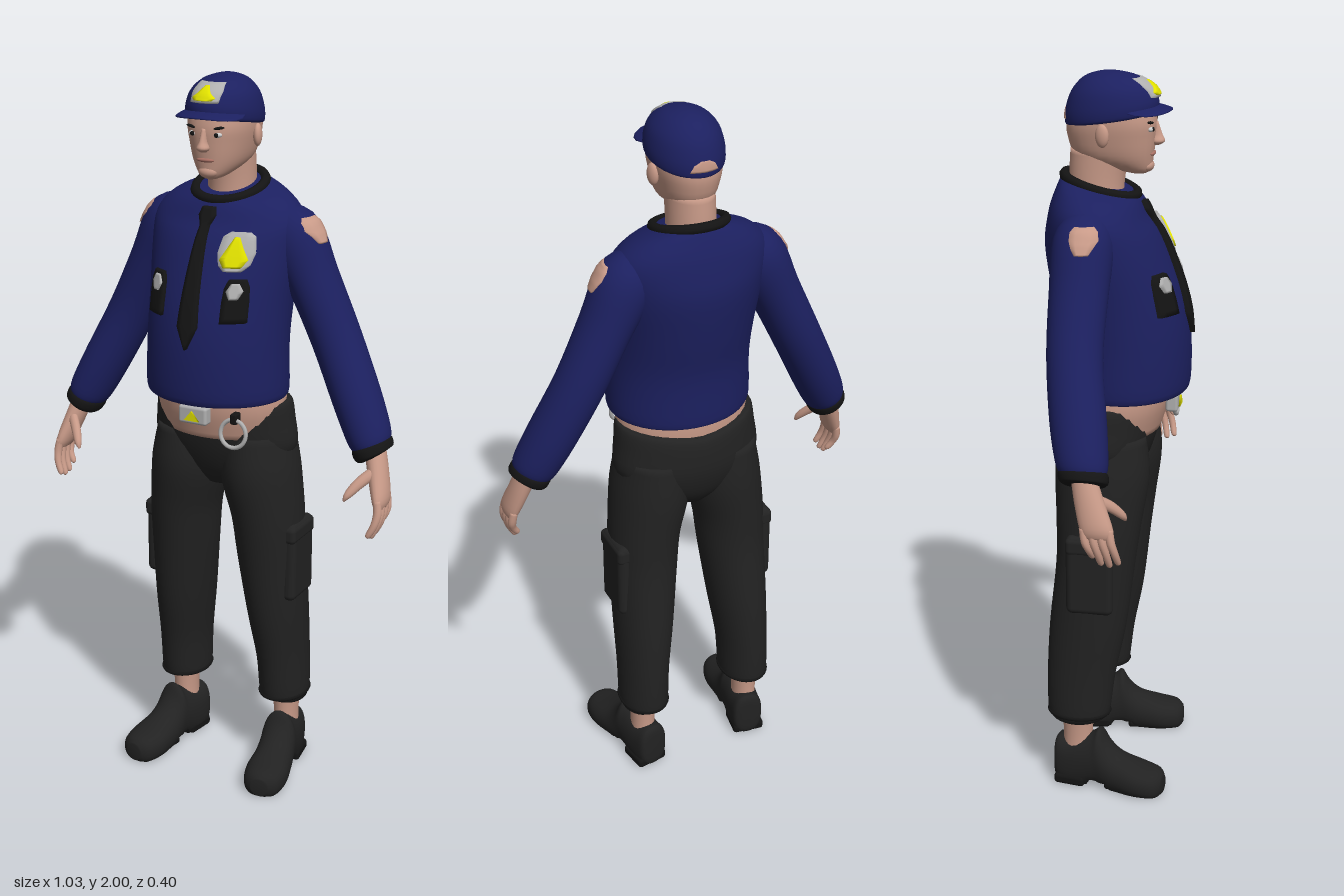
import * as THREE from 'three';
import { RoundedBoxGeometry } from 'three/addons/geometries/RoundedBoxGeometry.js';

const mat = (color) => new THREE.MeshStandardMaterial({ color, roughness: 0.9, side: THREE.DoubleSide });
const navy = mat(0x1c2060), black = mat(0x222222), dark = mat(0x141414), skin = mat(0xc89a88),
  silver = mat(0xb0b0b0), yellow = mat(0xe0e000), white = mat(0xdddddd), lip = mat(0xa87064);

function spline(p0, p1, p2, p3, t) {
  return 0.5 * (2 * p1 + (p2 - p0) * t + (2 * p0 - 5 * p1 + 4 * p2 - p3) * t * t + (3 * p1 - p0 - 3 * p2 + p3) * t ** 3);
}

// Smooth closed skin over sections [x, y, z, radius across, radius in z, squareness]
function loft(sections, segs = 32, sub = 4) {
  const S = sections.map((s) => [...s, 2].slice(0, 6)), rows = [];
  const at = (i) => S[Math.max(0, Math.min(S.length - 1, i))];
  for (let i = 0; i < S.length - 1; i++)
    for (let k = 0; k < sub; k++)
      rows.push(S[i].map((_, c) => spline(at(i - 1)[c], at(i)[c], at(i + 1)[c], at(i + 2)[c], k / sub)));
  rows.push(S[S.length - 1]);
  const pos = [], idx = [], n = rows.length;
  rows.forEach((r, i) => {
    const a = rows[Math.max(0, i - 1)], b = rows[Math.min(n - 1, i + 1)];
    const tx = b[0] - a[0], ty = b[1] - a[1], l = Math.hypot(tx, ty) || 1;
    for (let j = 0; j < segs; j++) {
      const t = (j / segs) * Math.PI * 2, e = 2 / r[5];
      const c = Math.sign(Math.cos(t)) * Math.abs(Math.cos(t)) ** e * Math.max(r[3], 0.001);
      const s = Math.sign(Math.sin(t)) * Math.abs(Math.sin(t)) ** e * Math.max(r[4], 0.001);
      pos.push(r[0] + (ty / l) * c, r[1] - (tx / l) * c, r[2] + s);
    }
  });
  pos.push(...rows[0].slice(0, 3), ...rows[n - 1].slice(0, 3));
  for (let j = 0; j < segs; j++) {
    const k = (j + 1) % segs;
    for (let i = 0; i < n - 1; i++) {
      const a = i * segs + j, b = i * segs + k;
      idx.push(a, a + segs, b, b, a + segs, b + segs);
    }
    idx.push(n * segs, j, k, n * segs + 1, (n - 1) * segs + k, (n - 1) * segs + j);
  }
  const g = new THREE.BufferGeometry();
  g.setAttribute('position', new THREE.Float32BufferAttribute(pos, 3));
  g.setIndex(idx);
  g.computeVertexNormals();
  return g;
}

// Move every vertex by a rule
function bend(g, rule) {
  const p = g.attributes.position, v = new THREE.Vector3();
  for (let i = 0; i < p.count; i++) {
    rule(v.fromBufferAttribute(p, i));
    p.setXYZ(i, v.x, v.y, v.z);
  }
  g.computeVertexNormals();
  return g;
}

// Padded patch laid on a surface; rows are [y, centre, half width], seen along dir
function patch(targets, rows, dir, lift) {
  const ray = new THREE.Raycaster(), pos = [], idx = [], cols = [-1, -0.94, -0.5, 0, 0.5, 0.94, 1];
  const d = new THREE.Vector3(...dir), list = [rows[0]];
  for (let i = 0; i < rows.length - 1; i++)
    for (let k = 0; k < 4; k++) list.push(rows[i].map((v, c) => v + ((rows[i + 1][c] - v) * k) / 4));
  const last = rows[rows.length - 1];
  list.push(last, last);
  let reach = 0;
  list.forEach(([y, c, w], i) => cols.forEach((u, j) => {
    const q = c + u * w, o = new THREE.Vector3(d.x ? 0 : q, y, d.x ? q : 0);
    ray.set(o.clone().addScaledVector(d, 3), d.clone().negate());
    const hit = ray.intersectObjects(targets)[0];
    if (hit) reach = 3 - hit.distance;
    const edge = i === 0 || i === list.length - 1 || j === 0 || j === cols.length - 1;
    o.addScaledVector(d, reach + (edge ? -0.004 : lift));
    pos.push(o.x, o.y, o.z);
    if (i && j) {
      const a = i * 7 + j;
      idx.push(a - 8, a - 1, a - 7, a - 7, a - 1, a);
    }
  }));
  const g = new THREE.BufferGeometry();
  g.setAttribute('position', new THREE.Float32BufferAttribute(pos, 3));
  g.setIndex(idx);
  g.computeVertexNormals();
  return g;
}

export function createModel() {
  const model = new THREE.Group();
  const add = (name, g, m, x = 0, y = 0, z = 0) => {
    const mesh = new THREE.Mesh(g, m);
    mesh.name = name;
    mesh.position.set(x, y, z);
    mesh.updateMatrixWorld();
    model.add(mesh);
    return mesh;
  };
  const ball = (rx, ry, rz) => new THREE.SphereGeometry(1, 20, 14).scale(rx, ry, rz);
  const front = [0, 0, 1];

  // Shirt, bare waist and trouser seat
  const shirt = add('shirt', bend(loft([
    [0, 1.15, 0.015, 0.188, 0.163], [0, 1.17, 0.02, 0.2, 0.174], [0, 1.3, 0.018, 0.197, 0.176],
    [0, 1.42, -0.003, 0.2, 0.177], [0, 1.55, -0.035, 0.213, 0.162], [0, 1.63, -0.05, 0.213, 0.135],
    [0, 1.68, -0.05, 0.165, 0.115], [0, 1.705, -0.05, 0.1, 0.1], [0, 1.71, -0.05, 0.08, 0.08]], 48),
  (v) => { if (v.y > 1.6) v.y -= ((v.y - 1.6) / 0.11) * 0.25 * (v.z + 0.05); }), navy);
  add('waist', loft([[0, 1.04, -0.01, 0.17, 0.125], [0, 1.12, -0.003, 0.187, 0.14], [0, 1.2, 0, 0.18, 0.14]]), skin);
  add('trouserSeat', bend(loft([
    [0, 0.88, -0.035, 0.06, 0.07], [0, 0.93, -0.035, 0.16, 0.105], [0, 1.0, -0.032, 0.209, 0.13],
    [0, 1.07, -0.025, 0.204, 0.139], [0, 1.115, -0.02, 0.196, 0.137], [0, 1.12, -0.02, 0.18, 0.12]]),
  (v) => { if (v.y > 1.04) v.y += ((v.y - 1.04) / 0.08) * (0.12 * Math.abs(v.x) - 0.008); }), black);

  // Collar ring and tie
  const ring = [...Array(24).keys()].map((i) => {
    const a = (i / 24) * Math.PI * 2;
    return new THREE.Vector3(0.092 * Math.cos(a), 1.705 - 0.026 * Math.sin(a), -0.05 + 0.096 * Math.sin(a));
  });
  add('collar', new THREE.TubeGeometry(new THREE.CatmullRomCurve3(ring, true), 64, 0.014, 8, true), dark);
  add('tie', patch([shirt], [[1.665, 0, 0.018], [1.645, 0, 0.024], [1.62, 0, 0.013], [1.5, 0, 0.021],
    [1.37, 0, 0.029], [1.31, 0, 0.002]], front, 0.013), dark);

  // Chest badge, belt buckle and hanging ring
  add('chestBadge', patch([shirt], [[1.61, 0.1, 0.025], [1.6, 0.1, 0.04], [1.56, 0.1, 0.046], [1.53, 0.1, 0.038],
    [1.515, 0.1, 0.022]], front, 0.011), silver);
  add('badgeEmblem', patch([shirt], [[1.6, 0.1, 0.006], [1.57, 0.1, 0.022], [1.545, 0.1, 0.036],
    [1.525, 0.1, 0.022]], front, 0.016), yellow);
  add('buckle', new RoundedBoxGeometry(0.085, 0.05, 0.034, 3, 0.008), silver, 0, 1.117, 0.15);
  add('buckleEmblem', new THREE.CylinderGeometry(0.026, 0.026, 0.008, 3).rotateX(Math.PI / 2).rotateZ(Math.PI)
    .scale(1, 0.7, 1), yellow, 0, 1.112, 0.168);
  add('hangingRing', new THREE.TorusGeometry(0.038, 0.006, 8, 32).rotateX(-0.15), silver, 0.11, 1.075, 0.138);
  add('ringClip', new RoundedBoxGeometry(0.02, 0.03, 0.03, 2, 0.005), dark, 0.11, 1.115, 0.125);

  // Neck, head and face
  add('neck', loft([[0, 1.64, -0.06, 0.065, 0.07], [0, 1.72, -0.06, 0.063, 0.074], [0, 1.8, -0.05, 0.062, 0.08]]), skin);
  add('head', loft([
    [0, 1.737, 0.05, 0.015, 0.02], [0, 1.748, 0.035, 0.038, 0.05], [0, 1.78, -0.01, 0.066, 0.1, 2.2],
    [0, 1.83, -0.02, 0.081, 0.116, 2.2], [0, 1.88, -0.02, 0.088, 0.118, 2.2], [0, 1.94, -0.02, 0.08, 0.1],
    [0, 1.975, -0.02, 0.04, 0.05]]), skin);
  add('nose', loft([[0, 1.812, 0.098, 0.008, 0.008], [0, 1.822, 0.1, 0.017, 0.02], [0, 1.84, 0.098, 0.01, 0.015],
    [0, 1.872, 0.092, 0.007, 0.01]], 16), skin);
  add('mouth', ball(0.026, 0.006, 0.008), lip, 0, 1.79, 0.088);
  add('chin', ball(0.028, 0.018, 0.02), skin, 0, 1.758, 0.072);
  for (const s of [1, -1]) {
    add('eye', ball(0.013, 0.007, 0.008), white, s * 0.035, 1.857, 0.087);
    add('pupil', ball(0.006, 0.006, 0.004), dark, s * 0.035, 1.857, 0.094);
    add('eyebrow', ball(0.02, 0.004, 0.008).rotateZ(s * 0.15), dark, s * 0.036, 1.874, 0.087);
    add('ear', ball(0.012, 0.03, 0.019).rotateY(s * 0.3), skin, s * 0.09, 1.845, -0.03);
  }

  // Cap with brim, rear opening and front badge
  const cap = add('cap', bend(loft([
    [0, 1.878, -0.02, 0.09, 0.118], [0, 1.885, -0.02, 0.097, 0.123], [0, 1.915, -0.02, 0.097, 0.122],
    [0, 1.955, -0.02, 0.085, 0.106], [0, 1.985, -0.022, 0.057, 0.072], [0, 1.998, -0.024, 0.022, 0.03],
    [0, 2, -0.024, 0.002, 0.002]], 40),
  (v) => { v.y += 0.15 * (v.z + 0.02) * Math.min(1, (2 - v.y) / 0.1); }), navy);
  add('capBrim', bend(ball(0.094, 0.009, 0.08),
    (v) => { v.y -= 1.6 * v.x * v.x + 0.12 * v.z; }), navy, 0, 1.913, 0.06);
  add('capOpening', patch([cap], [[1.905, 0, 0.012], [1.895, 0, 0.03], [1.877, 0, 0.04]], [0, 0, -1], 0.002), skin);
  add('capBadge', patch([cap], [[1.985, 0, 0.036], [1.965, 0, 0.043], [1.937, 0, 0.04]], front, 0.008), silver);
  add('capEmblem', patch([cap], [[1.979, 0, 0.005], [1.962, 0, 0.018], [1.95, 0, 0.034], [1.943, 0, 0.025]],
    front, 0.012), yellow);

  for (const s of [1, -1]) {
    const limb = (sections, segs) => loft(sections.map(([x, ...r]) => [s * x, ...r]), segs);

    // Sleeve, cuff and shoulder patch
    const sleeve = add('sleeve', limb([
      [0.14, 1.635, -0.06, 0.045, 0.055], [0.182, 1.585, -0.062, 0.08, 0.08], [0.242, 1.47, -0.063, 0.07, 0.077],
      [0.315, 1.32, -0.06, 0.067, 0.073], [0.39, 1.17, -0.037, 0.065, 0.074], [0.435, 1.08, -0.02, 0.06, 0.068],
      [0.448, 1.053, -0.015, 0.05, 0.058]]), navy);
    add('cuff', limb([[0.443, 1.064, -0.015, 0.05, 0.058], [0.447, 1.055, -0.014, 0.055, 0.065],
      [0.455, 1.037, -0.011, 0.054, 0.063], [0.459, 1.03, -0.01, 0.044, 0.052]]), dark);
    add('shoulderPatch', patch([shirt, sleeve], [[1.64, -0.05, 0.025], [1.628, -0.05, 0.036], [1.608, -0.048, 0.038],
      [1.59, -0.05, 0.028], [1.575, -0.05, 0.018]], [s, 0, 0], 0.005), skin);

    // Hand with four fingers and a thumb
    add('palm', limb([[0.458, 1.05, -0.01, 0.028, 0.034], [0.477, 0.99, 0.008, 0.026, 0.04],
      [0.496, 0.93, 0.028, 0.021, 0.044], [0.5, 0.905, 0.033, 0.012, 0.038]], 20), skin);
    for (let f = 0; f < 4; f++) {
      const z = 0.064 - f * 0.022, drop = [0.008, 0, 0.004, 0.022][f];
      add('finger', limb([[0.498, 0.93, z - 0.003, 0.011, 0.011], [0.503, 0.895, z + 0.003, 0.0115, 0.0115],
        [0.498, 0.86 + drop / 2, z + 0.012, 0.01, 0.01], [0.485, 0.828 + drop, z + 0.018, 0.008, 0.008],
        [0.482, 0.822 + drop, z + 0.019, 0.002, 0.002]], 12), skin);
    }
    add('thumb', limb([[0.478, 1.0, 0.025, 0.016, 0.016], [0.447, 0.972, 0.056, 0.015, 0.015],
      [0.424, 0.942, 0.08, 0.011, 0.012], [0.415, 0.924, 0.088, 0.003, 0.004]], 12), skin);

    // Chest pocket and button
    add('chestPocket', patch([shirt], [[1.495, s * 0.115, 0.02], [1.475, s * 0.115, 0.028], [1.44, s * 0.115, 0.03],
      [1.385, s * 0.115, 0.03]], front, 0.012), dark);
    add('pocketButton', patch([shirt], [[1.487, s * 0.115, 0.009], [1.468, s * 0.115, 0.02],
      [1.447, s * 0.115, 0.01]], front, 0.018), silver);

    // Trouser leg, hem and cargo pocket
    add('trouserLeg', limb([
      [0.105, 1.04, -0.03, 0.09, 0.12], [0.109, 0.93, -0.028, 0.107, 0.13], [0.13, 0.8, -0.034, 0.099, 0.118],
      [0.138, 0.68, -0.042, 0.094, 0.11], [0.15, 0.5, -0.062, 0.083, 0.108], [0.16, 0.35, -0.08, 0.072, 0.097],
      [0.163, 0.235, -0.087, 0.069, 0.089], [0.163, 0.225, -0.087, 0.062, 0.08]]), black);
    add('hem', new THREE.TorusGeometry(0.066, 0.006, 8, 32).rotateX(Math.PI / 2).scale(1, 1, 1.27), dark,
      s * 0.163, 0.226, -0.087);
    add('cargoPocket', new RoundedBoxGeometry(0.04, 0.23, 0.13, 4, 0.018), black, s * 0.218, 0.67, -0.045);
    add('pocketFlap', new RoundedBoxGeometry(0.042, 0.05, 0.135, 3, 0.014), black, s * 0.219, 0.755, -0.043);

    // Ankle and shoe, turned slightly outward
    add('ankle', limb([[0.168, 0.08, -0.09, 0.036, 0.045], [0.168, 0.16, -0.09, 0.035, 0.042],
      [0.168, 0.28, -0.09, 0.045, 0.05]], 20), skin);
    const shoe = loft([
      [0, -0.07, -0.07, 0.02, 0.04, 2.6], [0, -0.062, -0.07, 0.042, 0.07, 2.6], [0, -0.02, -0.062, 0.048, 0.078, 2.4],
      [0, 0.04, -0.075, 0.05, 0.088], [0, 0.062, -0.08, 0.051, 0.098], [0, 0.085, -0.06, 0.053, 0.08],
      [0, 0.12, -0.045, 0.057, 0.062], [0, 0.18, -0.035, 0.062, 0.048, 2.3], [0, 0.23, -0.03, 0.05, 0.042, 2.3],
      [0, 0.25, -0.03, 0.024, 0.025]], 32).rotateX(Math.PI / 2);
    add('shoe', bend(shoe, (v) => {
      v.y = Math.max(v.y, v.z > 0.03 && v.z < 0.1 ? 0.022 : 0);
    }), black, s * 0.168, 0, -0.085).rotation.y = s * 0.16;
    const sole = add('sole', bend(new RoundedBoxGeometry(0.112, 0.018, 0.15, 4, 0.008),
      (v) => { v.x *= 1 - 0.35 * (v.z / 0.075) ** 2; }), dark, s * 0.19, 0.01, 0.07);
    sole.rotation.y = s * 0.16;
    add('heel', new RoundedBoxGeometry(0.094, 0.03, 0.09, 3, 0.01), dark, s * 0.168, 0.015, -0.105).rotation.y = s * 0.16;
  }
  return model;
}
